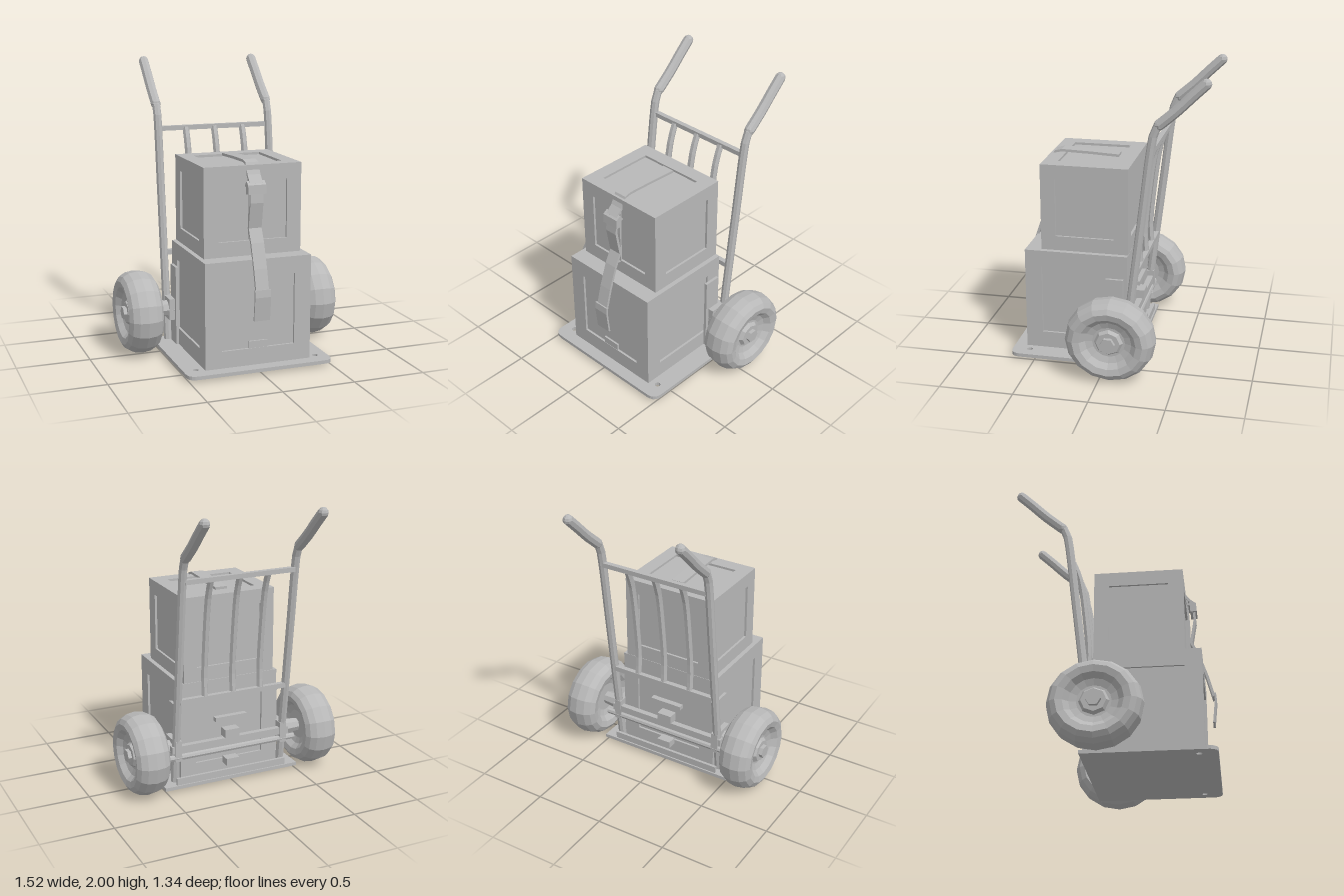
import * as THREE from 'three';

export function createModel() {
  const model = new THREE.Group();
  model.name = 'handTruck';
  const grey = new THREE.MeshStandardMaterial({ color: 0xb8b8b8 });
  grey.name = 'plainGrey';

  // Faceted mesh helper
  function add(name, geometry, parent = model) {
    const g = geometry.index ? geometry.toNonIndexed() : geometry;
    g.computeVertexNormals();
    const mesh = new THREE.Mesh(g, grey);
    mesh.name = name;
    parent.add(mesh);
    return mesh;
  }
  const box = (name, w, h, d, x, y, z, parent) => {
    const mesh = add(name, new THREE.BoxGeometry(w, h, d), parent);
    mesh.position.set(x, y, z);
    return mesh;
  };
  const V = (x, y, z) => new THREE.Vector3(x, y, z);
  const tube = (name, pts, r, sides = 8, steps = 16, parent) =>
    add(name, new THREE.TubeGeometry(new THREE.CatmullRomCurve3(pts, false, 'centripetal'), steps, r, sides), parent);

  // Toe plate with rounded front corners and two bolt holes
  const toe = new THREE.Shape();
  toe.moveTo(-0.51, -0.19);
  toe.lineTo(0.51, -0.19);
  toe.lineTo(0.51, 0.6);
  toe.quadraticCurveTo(0.51, 0.67, 0.44, 0.67);
  toe.lineTo(-0.44, 0.67);
  toe.quadraticCurveTo(-0.51, 0.67, -0.51, 0.6);
  toe.closePath();
  for (const s of [-1, 1]) {
    const hole = new THREE.Path();
    hole.absarc(s * 0.425, 0.55, 0.02, 0, Math.PI * 2, true);
    toe.holes.push(hole);
  }
  const toeGeo = new THREE.ExtrudeGeometry(toe, { depth: 0.024, bevelEnabled: false, curveSegments: 5 });
  toeGeo.rotateX(Math.PI / 2);
  add('toePlate', toeGeo).position.y = 0.042;

  // Crate: a core wrapped by a raised frame on all six faces
  function crate(name, w, h, d, x, y, z, rim) {
    const group = new THREE.Group();
    group.name = name;
    group.position.set(x, y, z);
    const t = 0.016;
    box('crateCore', w - 2 * t, h - 2 * t, d - 2 * t, 0, 0, 0, group);
    const frame = (fw, fh, depth, rx, ry) => {
      const a = fw / 2, b = fh / 2, i = a - rim, j = b - rim;
      const rect = (p, q) => [[-p, -q], [p, -q], [p, q], [-p, q]].map(c => new THREE.Vector2(...c));
      const s = new THREE.Shape(rect(a, b));
      s.holes.push(new THREE.Path(rect(i, j).reverse()));
      const g = new THREE.ExtrudeGeometry(s, { depth: t, bevelEnabled: false });
      g.translate(0, 0, depth / 2 - t);
      g.rotateX(rx);
      g.rotateY(ry);
      add('crateFrame', g, group);
    };
    frame(w, h, d, 0, 0);
    frame(w, h, d, 0, Math.PI);
    frame(d, h, w, 0, Math.PI / 2);
    frame(d, h, w, 0, -Math.PI / 2);
    frame(w, d, h, -Math.PI / 2, 0);
    frame(w, d, h, Math.PI / 2, 0);
    model.add(group);
  }
  crate('lowerCrate', 0.74, 0.715, 0.71, 0, 0.4, 0.23, 0.115);
  crate('upperCrate', 0.68, 0.6, 0.6, 0, 1.06, 0.175, 0.1);
  box('frontTab', 0.13, 0.05, 0.014, 0, 0.18, 0.575);
  box('rearHandle', 0.24, 0.03, 0.04, 0, 0.47, -0.145);
  box('rearLatch', 0.11, 0.06, 0.07, 0, 0.36, -0.15);
  box('rearFoot', 0.1, 0.05, 0.07, 0, 0.15, -0.16);

  // Tie-down strap: a side profile given thickness, extruded across its width
  function strap(name, pts, width, thick) {
    const line = pts.map(p => new THREE.Vector2(...p));
    const back = line.map((p, i) => {
      const a = line[Math.max(i - 1, 0)], b = line[Math.min(i + 1, line.length - 1)];
      const dir = b.clone().sub(a).normalize();
      return new THREE.Vector2(p.x + dir.y * thick, p.y - dir.x * thick);
    });
    const g = new THREE.ExtrudeGeometry(new THREE.Shape([...line, ...back.reverse()]), { depth: width, bevelEnabled: false });
    g.translate(0, 0, -width / 2);
    g.rotateY(-Math.PI / 2);
    add(name, g);
  }
  strap('strap', [[0, 1.372], [0.2, 1.382], [0.4, 1.388], [0.45, 1.375], [0.49, 1.3], [0.535, 1.25],
    [0.545, 1.12], [0.515, 0.95], [0.56, 0.86], [0.615, 0.7], [0.655, 0.55]], 0.09, 0.018);
  strap('strapEnd', [[0.66, 0.57], [0.665, 0.52], [0.648, 0.36]], 0.11, 0.014);
  strap('buckle', [[0.515, 1.265], [0.548, 1.24], [0.552, 1.18]], 0.125, 0.045);
  strap('strapBack', [[0.49, 1.3], [0.5, 1.1], [0.5, 0.88], [0.545, 0.89]], 0.08, 0.012);

  // Wheel profile: tyre with a dished hub on both faces
  const half = [[0.305, 0], [0.295, 0.06], [0.27, 0.1], [0.235, 0.12], [0.19, 0.11], [0.155, 0.075], [0.11, 0.06], [0, 0.06]];
  const profile = [...half.slice(1).reverse().map(([r, a]) => [r, -a]), ...half].map(p => new THREE.Vector2(...p));

  for (const s of [-1, 1]) {
    const side = s > 0 ? 'left' : 'right';

    // Wheel, hub and nut, with the axle stub behind
    const wheel = new THREE.Group();
    wheel.name = side + 'Wheel';
    wheel.position.set(s * 0.64, 0.285, -0.07);
    wheel.scale.y = 0.934;
    if (s < 0) wheel.rotation.y = Math.PI;
    add('tyre', new THREE.LatheGeometry(profile, 16).rotateZ(-Math.PI / 2), wheel);
    add('hub', new THREE.CylinderGeometry(0.08, 0.1, 0.03, 8).rotateZ(-Math.PI / 2), wheel).position.x = 0.07;
    add('nut', new THREE.CylinderGeometry(0.048, 0.05, 0.05, 6).rotateZ(-Math.PI / 2), wheel).position.x = 0.085;
    add('axleStub', new THREE.CylinderGeometry(0.05, 0.068, 0.19, 8).rotateZ(-Math.PI / 2), wheel).position.x = -0.165;
    model.add(wheel);
    box(side + 'AxleBracket', 0.05, 0.15, 0.17, s * 0.405, 0.29, -0.09);
    box(side + 'SidePlate', 0.02, 0.55, 0.12, s * 0.38, 0.32, -0.04);

    // Upright and angled grip
    const x = s * 0.412;
    tube(side + 'Upright', [V(x, 0.05, -0.11), V(x, 0.6, -0.176), V(x, 1.1, -0.236), V(x, 1.58, -0.295),
      V(x, 1.66, -0.315), V(x, 1.73, -0.375)], 0.029, 8, 24);
    tube(side + 'Grip', [V(x, 1.69, -0.34), V(x, 1.79, -0.455), V(x, 1.88, -0.545), V(x, 1.966, -0.635)], 0.036, 8, 6);
    add(side + 'GripEnd', new THREE.SphereGeometry(0.035, 8, 6)).position.set(x, 1.965, -0.634);
    add(side + 'GripCollar', new THREE.SphereGeometry(0.036, 8, 6)).position.set(x, 1.69, -0.34);
  }

  // Cross bars and the axle bars behind the lower crate
  box('topBar', 0.8, 0.032, 0.035, 0, 1.52, -0.295);
  box('middleBar', 0.8, 0.035, 0.035, 0, 0.66, -0.19);
  box('axleBar', 0.9, 0.05, 0.04, 0, 0.3, -0.15);
  add('axleRod', new THREE.CylinderGeometry(0.022, 0.022, 1.0, 8).rotateZ(Math.PI / 2)).position.set(0, 0.24, -0.155);
  box('plateLip', 0.84, 0.06, 0.02, 0, 0.06, -0.17);

  // Back slats, bowed slightly towards the load
  for (const x of [-0.21, 0, 0.21]) {
    tube('backSlat', [V(x, 1.52, -0.29), V(x, 1.4, -0.245), V(x, 1.1, -0.2), V(x, 0.8, -0.175), V(x, 0.66, -0.185)], 0.024, 6, 12);
  }
  return model;
}
